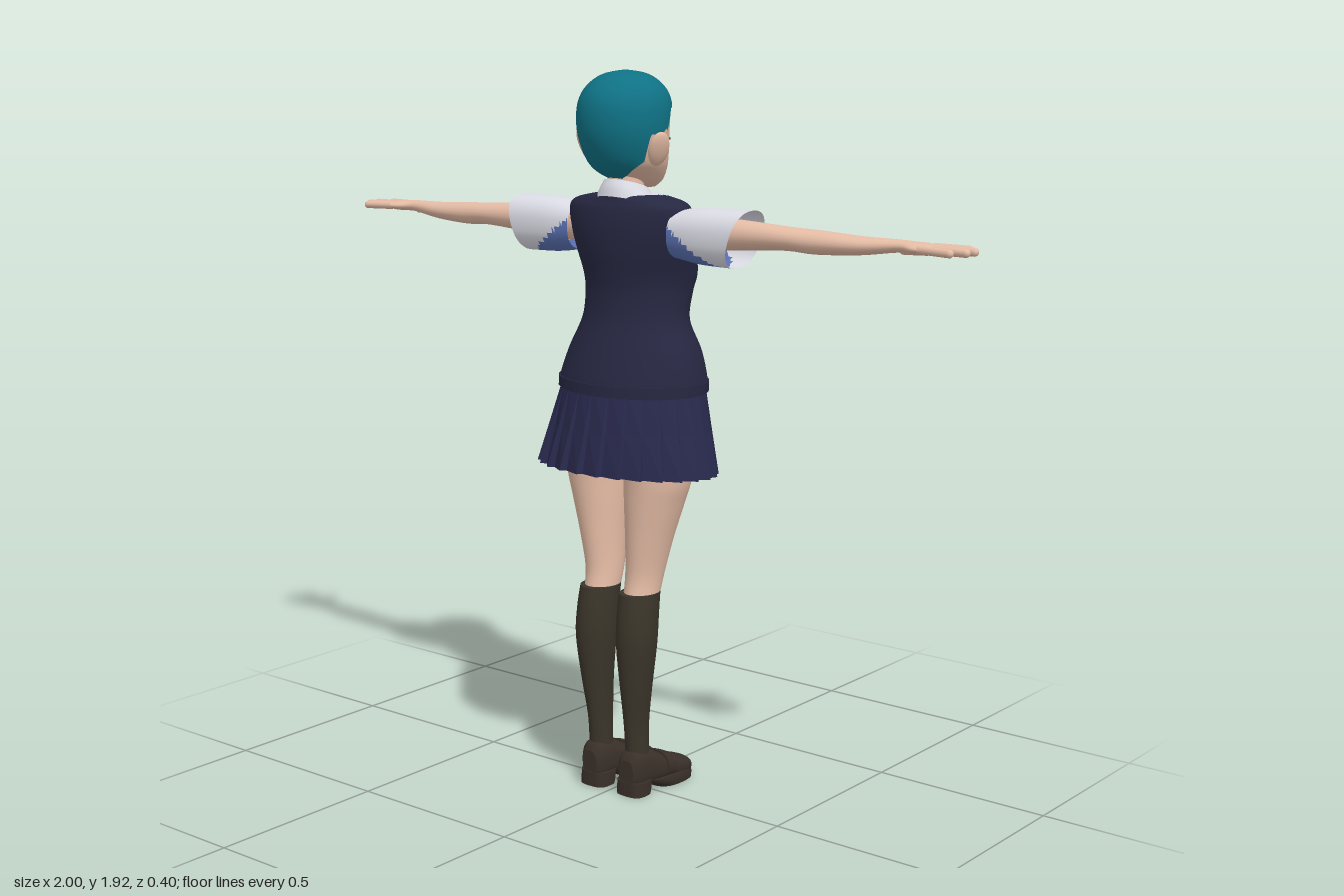
import * as THREE from 'three';

const mat = (name, color, side = THREE.DoubleSide) => {
  const m = new THREE.MeshStandardMaterial({ color, side });
  m.name = name;
  return m;
};
const M = {
  hair: mat('hairTeal', 0x0f7285), skin: mat('skin', 0xe6bda6), vest: mat('vestNavy', 0x262741),
  skirt: mat('skirtNavy', 0x28294c), sock: mat('sockBrown', 0x3b352a), shoe: mat('shoeBrown', 0x3a3029),
  shirt: mat('shirtWhite', 0xdcdce6), blue: mat('shirtBlue', 0x5b72b4), bow: mat('bowOrange', 0xd4522a),
  dark: mat('eyeDark', 0x24242e),
};

// Catmull-Rom refinement of rows of numbers
function refine(rows, m) {
  const out = [], last = rows.length - 1;
  for (let i = 0; i < last; i++) {
    const [p, a, b, q] = [rows[Math.max(i - 1, 0)], rows[i], rows[i + 1], rows[Math.min(i + 2, last)]];
    for (let k = 0; k < m; k++) {
      const t = k / m;
      out.push(a.map((v, j) => v + 0.5 * t * (b[j] - p[j] + t * (2 * p[j] - 5 * v + 4 * b[j] - q[j] + t * (3 * (v - b[j]) + q[j] - p[j])))));
    }
  }
  out.push(rows[last]);
  return out;
}

// Skin rings of points; faces are turned outward, and pick() can choose a second material
function skinRings(rings, { caps = true, pick, flat } = {}) {
  const n = rings[0].length, pts = rings.flat(), lists = [[], []];
  const mid = pts.reduce((s, p) => s.add(p), new THREE.Vector3()).divideScalar(pts.length);
  const tris = [];
  for (let i = 0; i < rings.length - 1; i++) for (let j = 0; j < n; j++) {
    const a = i * n + j, b = i * n + (j + 1) % n;
    tris.push([a, b, b + n], [a, b + n, a + n]);
  }
  if (caps) [[rings[0], 1], [rings[rings.length - 1], 0]].forEach(([ring, first]) => {
    const base = pts.length;
    pts.push(...ring, ring.reduce((s, p) => s.add(p), new THREE.Vector3()).divideScalar(n));
    for (let j = 0; j < n; j++) {
      const k = base + (j + 1) % n;
      tris.push(first ? [base + n, k, base + j] : [base + n, base + j, k]);
    }
  });
  let volume = 0;
  const rel = (i) => pts[i].clone().sub(mid);
  for (const t of tris) volume += rel(t[0]).dot(rel(t[1]).cross(rel(t[2])));
  for (const t of tris) {
    if (volume < 0) t.reverse();
    const c = new THREE.Vector3().add(pts[t[0]]).add(pts[t[1]]).add(pts[t[2]]).divideScalar(3);
    lists[pick && pick(c) ? 1 : 0].push(...t);
  }
  let g = new THREE.BufferGeometry().setFromPoints(pts);
  g.setIndex(lists.flat());
  if (pick) {
    g.addGroup(0, lists[0].length, 0);
    g.addGroup(lists[0].length, lists[1].length, 1);
  }
  if (flat) g = g.toNonIndexed();
  g.computeVertexNormals();
  return g;
}

// Loft of rows [t, uLow, uHigh, vA, vB] along an axis; p below 1 makes the section boxier
function loft(axis, rows, { n = 32, m = 4, p = 1, s = 1, tweak, ...opt } = {}) {
  const pw = (v) => Math.sign(v) * Math.abs(v) ** p;
  const rings = refine(rows, m).map(([t, u0, u1, v0, v1]) => Array.from({ length: n }, (_, j) => {
    const a = (j / n) * Math.PI * 2;
    const u = (u0 + u1) / 2 + pw(Math.sin(a)) * (u1 - u0) / 2;
    const v = (v0 + v1) / 2 + pw(Math.cos(a)) * (v0 - v1) / 2;
    const q = axis === 'x' ? new THREE.Vector3(t, u, v) : axis === 'y' ? new THREE.Vector3(u, t, v) : new THREE.Vector3(u, v, t);
    if (tweak) tweak(q);
    q.x *= s;
    return q;
  }));
  return skinRings(rings, opt);
}

// Head surface: rows [y, halfWidth, back z, front z]; angle 0 is the face
const HEAD = refine([[1.622, 0.03, -0.03, -0.098], [1.64, 0.06, 0.02, -0.11], [1.67, 0.085, 0.075, -0.114],
  [1.7, 0.1, 0.105, -0.111], [1.76, 0.112, 0.13, -0.106], [1.82, 0.114, 0.134, -0.108], [1.86, 0.104, 0.122, -0.1],
  [1.89, 0.08, 0.095, -0.075], [1.908, 0.048, 0.06, -0.042], [1.916, 0.004, 0.015, 0.005]], 5);
function headPoint(a, y, off = 0) {
  let i = 0;
  while (i < HEAD.length - 2 && HEAD[i + 1][0] < y) i++;
  const A = HEAD[i], B = HEAD[i + 1], t = THREE.MathUtils.clamp((y - A[0]) / (B[0] - A[0]), 0, 1);
  const [, w, zb, zf] = A.map((v, k) => v + (B[k] - v) * t);
  const q = new THREE.Vector3(w * Math.sin(a), y, (zb + zf) / 2 - ((zb - zf) / 2) * Math.cos(a));
  const c = new THREE.Vector3(0, 1.77, 0.013);
  return q.add(q.clone().sub(c).normalize().multiplyScalar(off));
}
// Thin oval painted on the face
function facePatch(a, y, wa, hy, off) {
  const ring = (k) => Array.from({ length: 20 }, (_, j) => {
    const b = (j / 20) * Math.PI * 2;
    return headPoint(a + Math.cos(b) * wa * k, y + Math.sin(b) * hy * k, off);
  });
  return skinRings([ring(1), ring(0.5), ring(0.02)], { caps: false });
}
// Hairline height by angle from the face
function hairline(a) {
  const d = Math.abs(a > Math.PI ? a - Math.PI * 2 : a);
  const keys = [[0, 1.845], [0.75, 1.85], [1.1, 1.835], [1.3, 1.79], [1.5, 1.765], [1.85, 1.765], [2.05, 1.7], [2.6, 1.665], [3.15, 1.645]];
  let i = 0;
  while (i < keys.length - 2 && keys[i + 1][0] < d) i++;
  const t = (d - keys[i][0]) / (keys[i + 1][0] - keys[i][0]);
  const jag = d < 1.4 ? 0.014 * ((d * 3.6) % 1) : 0;
  return keys[i][1] + (keys[i + 1][1] - keys[i][1]) * t - jag;
}

export function createModel() {
  const root = new THREE.Group();
  const add = (name, geo, material, parent = root) => {
    const mesh = new THREE.Mesh(geo, material);
    mesh.name = name;
    parent.add(mesh);
    return mesh;
  };
  const rod = (name, p, q, r) => {
    const a = new THREE.Vector3(...p), d = new THREE.Vector3(...q).sub(a);
    const mesh = add(name, new THREE.CapsuleGeometry(r, d.length() - r, 4, 10), M.skin);
    mesh.position.copy(a).addScaledVector(d, 0.5);
    mesh.quaternion.setFromUnitVectors(new THREE.Vector3(0, 1, 0), d.normalize());
  };

  // Head, hair and neck
  const around = (n, f) => Array.from({ length: n }, (_, j) => f((j / n) * Math.PI * 2));
  add('head', skinRings(HEAD.map((r) => around(48, (a) => headPoint(a, r[0])))), M.skin);
  add('hair', skinRings(Array.from({ length: 25 }, (_, i) => around(144, (a) => {
    const h = hairline(a), t = Math.sin((i / 24) * Math.PI / 2);
    return headPoint(a, h + (1.916 - h) * t, 0.007);
  })), { caps: false }), M.hair);
  add('neck', loft('y', [[1.56, -0.055, 0.055, 0.06, -0.045], [1.67, -0.045, 0.045, 0.055, -0.035]]), M.skin);
  const nose = add('nose', new THREE.SphereGeometry(0.013, 16, 12), M.skin);
  nose.position.set(0, 1.69, -0.115);
  nose.scale.set(0.8, 1.1, 1.3);
  add('mouth', facePatch(0, 1.654, 0.2, 0.0025, 0.002), M.dark);

  // Vest with a scooped neck showing the shirt
  const T = (y, w, zb, zf) => [y, -w, w, zb, zf];
  add('vest', loft('y', [T(1.095, 0.213, 0.142, -0.188), T(1.13, 0.211, 0.138, -0.187), T(1.2, 0.19, 0.115, -0.178),
    T(1.28, 0.153, 0.087, -0.155), T(1.35, 0.151, 0.077, -0.17), T(1.4, 0.16, 0.08, -0.184), T(1.46, 0.175, 0.088, -0.158),
    T(1.52, 0.187, 0.09, -0.127), T(1.57, 0.189, 0.084, -0.105), T(1.592, 0.165, 0.075, -0.095), T(1.608, 0.09, 0.068, -0.075)],
  { n: 72, m: 6, pick: (c) => c.z < 0 && c.y > 1.515 + 11 * c.x * c.x }), [M.vest, M.shirt]);
  add('vestHem', loft('y', [T(1.098, 0.216, 0.146, -0.191), T(1.125, 0.216, 0.144, -0.191)], { n: 48 }), M.vest);
  add('collar', loft('y', [T(1.6, 0.09, 0.078, -0.095), T(1.625, 0.072, 0.073, -0.07), T(1.648, 0.058, 0.063, -0.05)],
    { caps: false, tweak: (q) => { q.y += (q.z - 0.06) * 0.3; } }), M.shirt);

  // Pleated skirt
  const pleats = 26;
  add('skirt', skinRings([0, 0.5, 1].map((t) => Array.from({ length: pleats * 2 }, (_, j) => {
    const a = ((Math.floor(j / 2) + (j % 2) * 0.85) / pleats) * Math.PI * 2;
    const k = 1 + (j % 2 ? 0.03 : -0.045) * t;
    return new THREE.Vector3(Math.sin(a) * (0.205 + 0.052 * t) * k, 1.11 - 0.225 * t + 0.012 * t * Math.cos(a),
      -0.024 + 0.026 * t + Math.cos(a) * (0.16 + 0.032 * t) * k);
  })), { caps: false, flat: true }), M.skirt);
  add('hips', loft('y', [T(0.9, 0.15, 0.08, -0.1), T(1.1, 0.19, 0.12, -0.16)]), M.skin);

  // Bow at the neckline
  const bow = new THREE.Group();
  bow.name = 'bow';
  bow.position.set(0, 1.562, -0.118);
  bow.rotation.x = 0.5;
  root.add(bow);
  const extr = (pts, depth) => new THREE.ExtrudeGeometry(new THREE.Shape(pts.map((p) => new THREE.Vector2(...p))), { depth, bevelEnabled: false });
  for (const s of [1, -1]) {
    const wing = add('bowWing', extr([[0, 0.012], [0.05, 0.032], [0.092, 0.04], [0.086, 0], [0.092, -0.036], [0.05, -0.028], [0, -0.012]], 0.018), M.bow, bow);
    wing.scale.x = s;
    wing.rotation.y = -0.3 * s;
    wing.position.z = -0.012;
    const tail = add('bowTail', extr([[0.002, 0], [0.014, 0], [0.05, -0.05], [0.026, -0.056]], 0.008), M.bow, bow);
    tail.scale.x = s;
    tail.position.z = -0.008;
  }
  add('bowKnot', new THREE.BoxGeometry(0.024, 0.03, 0.028), M.bow, bow).position.z = -0.006;
  add('bowPin', new THREE.BoxGeometry(0.007, 0.036, 0.006), M.shirt, bow).position.set(0, -0.012, -0.022);

  for (const s of [1, -1]) {
    // Face details and ears
    add('eyeWhite', facePatch(s * 0.5, 1.73, 0.19, 0.017, 0.002), M.shirt);
    add('iris', facePatch(s * 0.48, 1.73, 0.095, 0.016, 0.004), M.dark);
    add('upperLash', facePatch(s * 0.51, 1.748, 0.21, 0.004, 0.005), M.dark);
    add('eyebrow', facePatch(s * 0.5, 1.79, 0.2, 0.003, 0.002), M.hair);
    const ear = add('ear', new THREE.SphereGeometry(1, 20, 14), M.skin);
    ear.position.set(s * 0.122, 1.728, 0.026);
    ear.scale.set(0.014, 0.047, 0.028);
    ear.rotation.set(0, -s * 0.5, -s * 0.4);

    // Sleeve and arm
    add('sleeve', loft('x', [[0.165, 1.45, 1.575, 0.05, -0.085], [0.25, 1.44, 1.584, 0.055, -0.092], [0.385, 1.437, 1.585, 0.054, -0.092]],
      { s, m: 10, p: 0.85, caps: false, tweak: (q) => { q.x -= (1.585 - q.y) * 0.32 * Math.max(0, (q.x - 0.2) / 0.185); },
        pick: (c) => c.y < 1.525 - (Math.abs(c.x) - 0.18) * 0.7 }), [M.shirt, M.blue]);
    add('arm', loft('x', [[0.15, 1.47, 1.57, 0.04, -0.06], [0.385, 1.487, 1.56, 0.03, -0.05], [0.5, 1.494, 1.553, 0.025, -0.05],
      [0.58, 1.49, 1.55, 0.018, -0.056], [0.7, 1.497, 1.543, 0.008, -0.06], [0.8, 1.51, 1.541, -0.012, -0.06],
      [0.85, 1.51, 1.538, 0.002, -0.08], [0.885, 1.512, 1.535, 0.004, -0.088], [0.9, 1.515, 1.532, -0.002, -0.08]], { s, n: 24 }), M.skin);
    [[-0.077, 0.963, -0.094], [-0.054, 0.993, -0.064], [-0.03, 0.99, -0.03], [-0.007, 0.965, 0.004]]
      .forEach(([z, x, tz]) => rod('finger', [s * 0.87, 1.524, z], [s * x, 1.522, tz], 0.0105));
    rod('thumbBase', [s * 0.8, 1.52, -0.045], [s * 0.85, 1.516, -0.098], 0.016);
    rod('thumb', [s * 0.84, 1.516, -0.09], [s * 0.873, 1.514, -0.138], 0.011);

    // Leg, sock and shoe
    add('thigh', loft('y', [[1.02, 0, 0.19, 0.1, -0.13], [0.88, 0.008, 0.186, 0.09, -0.105], [0.8, 0.013, 0.165, 0.085, -0.09],
      [0.7, 0.02, 0.136, 0.078, -0.068], [0.6, 0.022, 0.115, 0.072, -0.046], [0.53, 0.024, 0.112, 0.085, -0.022]], { s }), M.skin);
    add('sock', loft('y', [[0.56, 0.018, 0.117, 0.094, -0.03], [0.5, 0.017, 0.121, 0.104, -0.02], [0.42, 0.018, 0.122, 0.108, -0.011],
      [0.3, 0.028, 0.106, 0.096, -0.003], [0.2, 0.033, 0.093, 0.081, 0], [0.12, 0.033, 0.093, 0.072, 0.002], [0.06, 0.033, 0.093, 0.072, -0.01]], { s }), M.sock);
    add('shoeUpper', loft('z', [[0.086, 0.04, 0.088, 0.1, 0.03], [0.065, 0.025, 0.102, 0.125, 0.015], [0.01, 0.02, 0.106, 0.118, 0.015],
      [-0.04, 0.014, 0.112, 0.092, 0.015], [-0.1, 0.011, 0.116, 0.072, 0.01], [-0.145, 0.022, 0.108, 0.056, 0.01], [-0.165, 0.042, 0.086, 0.04, 0.015]],
    { s, p: 0.8 }), M.shoe);
    add('heel', loft('y', [[0, 0.02, 0.106, 0.088, 0.015], [0.04, 0.02, 0.106, 0.088, 0.005]], { s, p: 0.65 }), M.shoe);
    add('sole', loft('y', [[0, 0.012, 0.116, -0.025, -0.165], [0.018, 0.01, 0.118, 0.01, -0.168], [0.032, 0.012, 0.116, 0.03, -0.165]], { s, p: 0.75 }), M.shoe);
    add('shoeStrap', loft('z', [[-0.035, 0.011, 0.115, 0.1, 0.02], [-0.07, 0.009, 0.118, 0.088, 0.02]], { s, p: 0.8 }), M.shoe);
  }
  return root;
}
